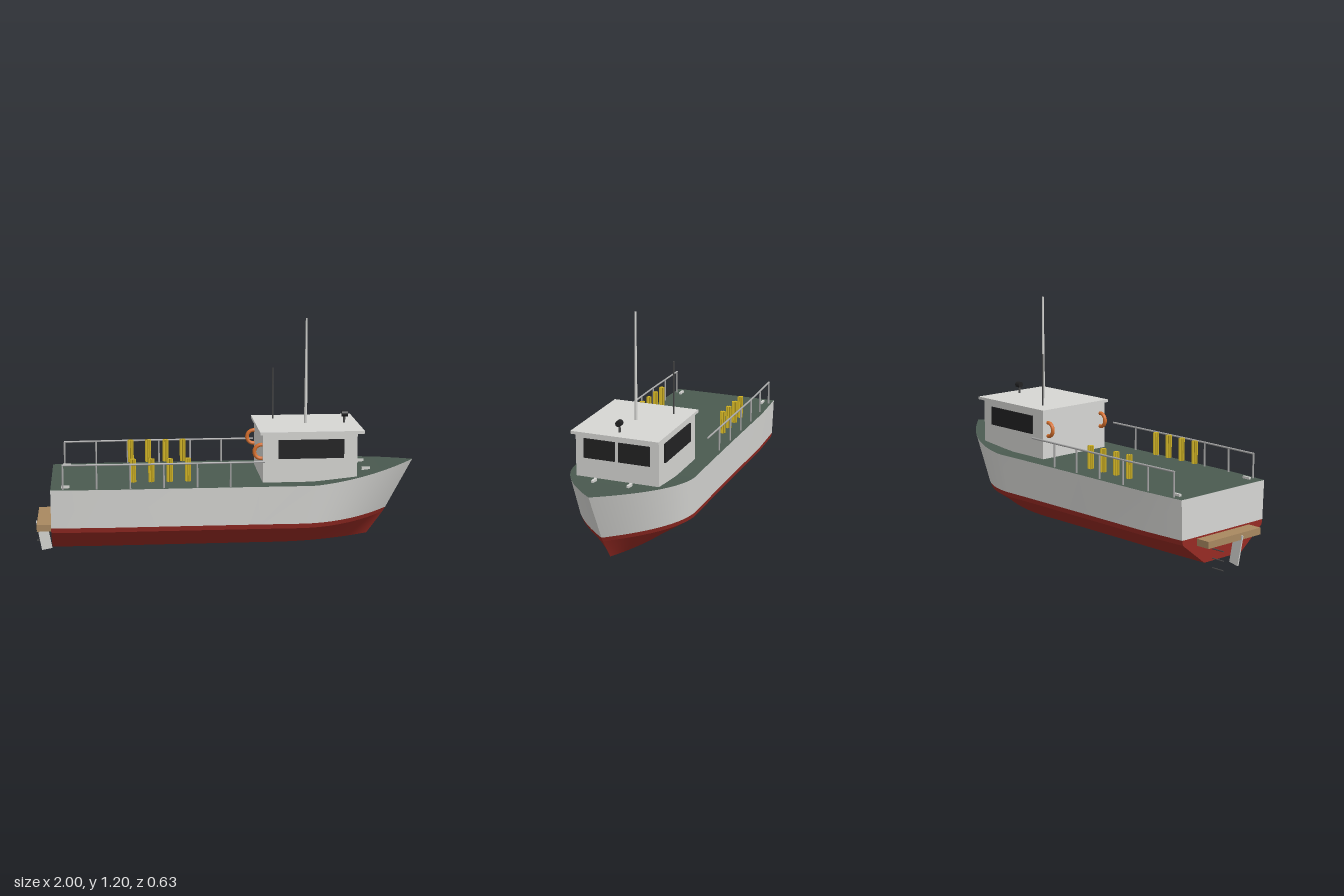
import * as THREE from 'three';

const paint = (name, color, side = THREE.FrontSide) => {
  const m = new THREE.MeshStandardMaterial({ color, side });
  m.name = name;
  return m;
};

export function createModel() {
  const boat = new THREE.Group();
  boat.name = 'workBoat';
  const grey = paint('paleGrey', 0xd6d6d3);
  const red = paint('antifoulingRed', 0x962a23);
  const green = paint('deckGreen', 0x4a5a50);
  const black = paint('black', 0x222223);
  const steel = paint('steelGrey', 0xa8a8a8);
  const darkSteel = paint('darkSteel', 0x4a4a4a);
  const yellow = paint('yellow', 0xcdb023);
  const orange = paint('orange', 0xd8702c);
  const wood = paint('wood', 0xa88860);

  const add = (name, geometry, material, x = 0, y = 0, z = 0) => {
    const mesh = new THREE.Mesh(geometry, material);
    mesh.name = name;
    mesh.position.set(x, y, z);
    boat.add(mesh);
    return mesh;
  };
  const box = (name, mat, w, h, d, x, y, z) => add(name, new THREE.BoxGeometry(w, h, d), mat, x, y, z);
  // Round bar between two points
  const bar = (name, mat, from, to, r0, r1 = r0) => {
    const a = new THREE.Vector3(...from), b = new THREE.Vector3(...to);
    const mesh = add(name, new THREE.CylinderGeometry(r1, r0, a.distanceTo(b), 10), mat);
    mesh.position.copy(a).add(b).multiplyScalar(0.5);
    mesh.quaternion.setFromUnitVectors(new THREE.Vector3(0, 1, 0), b.sub(a).normalize());
  };
  // Surface between two rows of points
  const loft = (name, rowA, rowB, mat) => {
    const n = rowA.length, index = [];
    for (let i = 0; i < n - 1; i++) index.push(i, i + 1, n + i + 1, i, n + i + 1, n + i);
    const g = new THREE.BufferGeometry();
    g.setAttribute('position', new THREE.Float32BufferAttribute([...rowA, ...rowB].flat(), 3));
    g.setIndex(index);
    g.computeVertexNormals();
    add(name, g, mat);
  };

  // Hull lines from bottom to deck edge: height, bow end, half width, start of the bow taper
  const levels = [
    { y: 0.04, end: 0.76, half: 0.14, start: 0.25 },
    { y: 0.155, end: 0.845, half: 0.3, start: 0.36 },
    { y: 0.18, end: 0.86, half: 0.305, start: 0.37 },
    { y: 0.38, end: 1.0, half: 0.313, start: 0.42 },
  ];
  const sheer = (x) => 0.38 + 0.06 * Math.pow(Math.max(0, (x - 0.43) / 0.57), 1.1);
  const line = ({ y, end, half, start }, side) => {
    const row = [];
    const point = (x, w) => row.push([x, y === 0.38 ? sheer(x) : y, side * w]);
    point(-0.91, half * 0.94);
    point(-0.65, half * 0.985);
    point(-0.2, half * 0.985);
    point(0.15, half * 0.99);
    for (let i = 0; i <= 24; i++) {
      const t = Math.sin((i / 24) * Math.PI / 2);
      point(start + (end - start) * t, half * (1 - Math.pow(t, 1.95)));
    }
    return row;
  };
  const left = levels.map((l) => line(l, 1));
  const right = levels.map((l) => line(l, -1));
  ['lowerHull', 'waterlineBand', 'topsides'].forEach((name, i) => {
    const mat = i < 2 ? red : grey;
    loft(name + 'Left', left[i], left[i + 1], mat);
    loft(name + 'Right', right[i + 1], right[i], mat);
  });
  loft('hullBottom', right[0], left[0], red);
  loft('deck', left[3], right[3], green);
  const sternL = left.map((r) => r[0]), sternR = right.map((r) => r[0]);
  loft('lowerTransom', sternL.slice(0, 3), sternR.slice(0, 3), red);
  loft('upperTransom', sternL.slice(2), sternR.slice(2), grey);

  // Wheelhouse
  box('cabin', grey, 0.49, 0.26, 0.44, 0.42, 0.5, 0);
  box('cabinRoof', grey, 0.54, 0.015, 0.464, 0.43, 0.6375, 0);
  for (const s of [1, -1]) {
    box('sideWindow', black, 0.34, 0.098, 0.009, 0.425, 0.553, s * 0.2235);
    box('frontWindow', black, 0.009, 0.1, 0.165, 0.6685, 0.554, s * 0.0925);
    add('lifeRing', new THREE.TorusGeometry(0.036, 0.01, 10, 28), orange, 0.17, 0.537, s * 0.187);
  }

  // Mast, antenna and searchlight on the roof
  bar('mast', grey, [0.425, 0.64, 0], [0.425, 1.2, 0], 0.0085, 0.005);
  bar('antenna', darkSteel, [0.267, 0.64, -0.14], [0.267, 0.92, -0.14], 0.004);
  bar('searchlightStand', darkSteel, [0.63, 0.64, 0], [0.63, 0.69, 0], 0.006);
  bar('searchlight', black, [0.617, 0.692, 0], [0.648, 0.692, 0], 0.016);

  // Ribbed posts share one star-shaped section
  const star = new THREE.Shape();
  for (let i = 0; i < 16; i++) {
    const r = i % 2 ? 0.009 : 0.016, a = (i * Math.PI) / 8;
    star[i ? 'lineTo' : 'moveTo'](r * Math.cos(a), r * Math.sin(a));
  }
  const postGeometry = new THREE.ExtrudeGeometry(star, { depth: 0.12, bevelEnabled: false });
  postGeometry.rotateX(-Math.PI / 2);

  for (const s of [1, -1]) {
    for (let i = 0; i < 4; i++) add('ribbedPost', postGeometry, yellow, -0.491 + i * 0.0935, 0.4, s * 0.233);

    // Railing
    const railZ = (x) => s * (x < -0.5 ? 0.291 + (x + 0.5) * 0.026 : 0.291);
    for (let i = 0; i < 6; i++) {
      const x = -0.847 + i * 0.17;
      bar('railPost', steel, [x, 0.375, railZ(x)], [x, 0.505, railZ(x)], 0.005);
    }
    bar('rearRail', steel, [-0.85, 0.505, railZ(-0.85)], [-0.505, 0.505, railZ(-0.505)], 0.005);
    bar('sideRail', steel, [-0.505, 0.505, s * 0.291], [0.178, 0.505, s * 0.291], 0.005);

    // Cleats
    box('sternCleat', grey, 0.044, 0.012, 0.012, -0.835, 0.386, s * 0.248);
    box('bowCleat', grey, 0.044, 0.016, 0.012, 0.733, 0.415, s * 0.094);
  }

  // Stern platform, rudder and ladder rungs
  box('sternPlatform', wood, 0.08, 0.035, 0.372, -0.947, 0.154, 0);
  box('rudder', grey, 0.055, 0.16, 0.008, -0.955, 0.083, 0.047).rotation.z = 0.18;
  for (const y of [0.012, 0.06, 0.108]) bar('ladderRung', darkSteel, [-1, y, -0.095], [-0.93, y, -0.095], 0.003);

  return boat;
}
